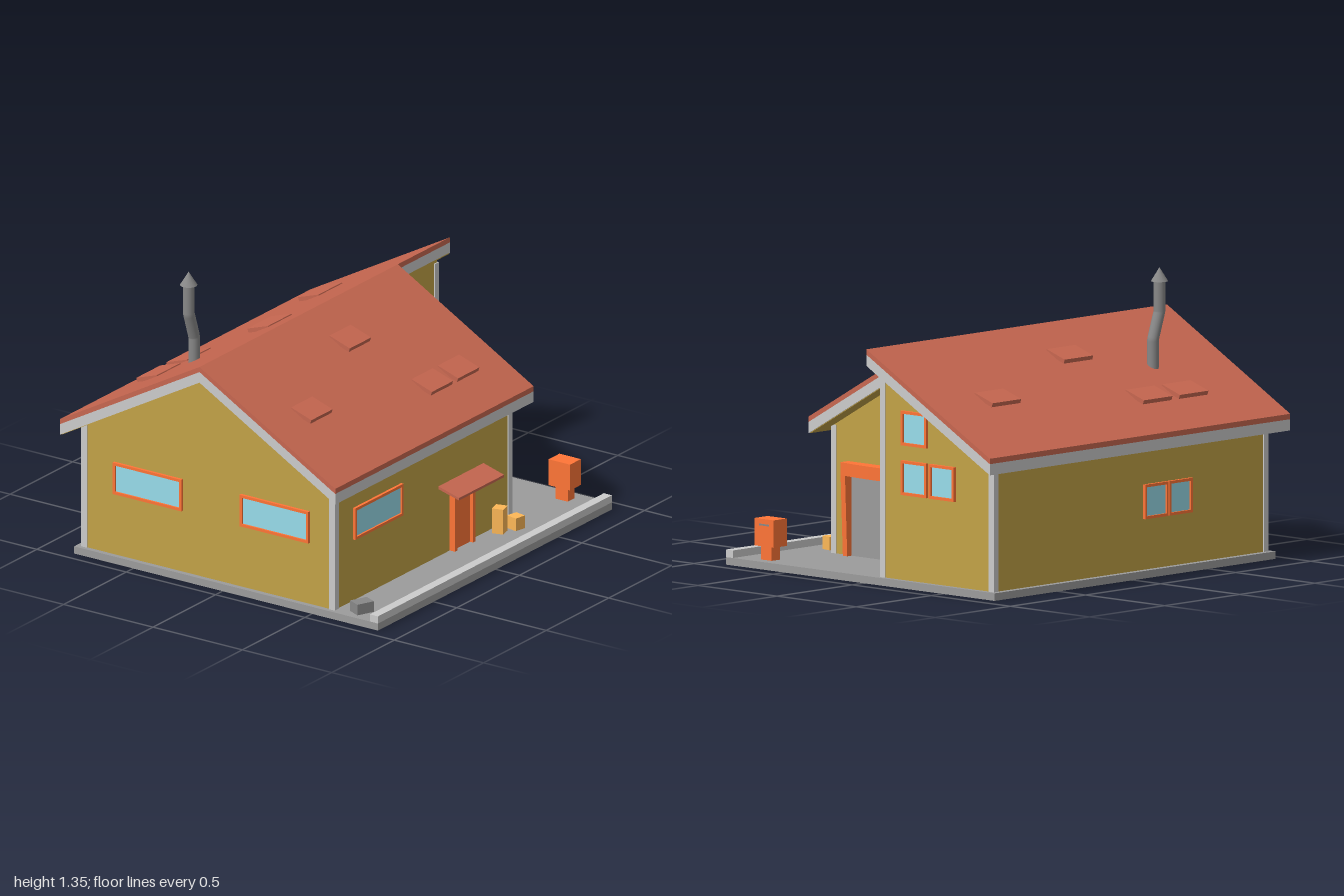
import * as THREE from 'three';

const mat = (color) => new THREE.MeshStandardMaterial({ color, flatShading: true });
const M = {
  wall: mat(0xc2a247), trim: mat(0xcccccc), roof: mat(0xc76750), orange: mat(0xff7537),
  glass: mat(0x98dcea), stone: mat(0x9c9c9c), metal: mat(0x888888), wood: mat(0xfdb857),
};
const RIDGE = -0.09, FRONT = 0.61, BACK = -0.8, LEFT_X = -0.92, BACK_X = 0.9, FRONT_X = 0.49, FLOOR = 0.035;

export function createModel() {
  const root = new THREE.Group();

  const add = (name, geo, material, parent = root) => {
    const mesh = new THREE.Mesh(geo, material);
    mesh.name = name;
    parent.add(mesh);
    return mesh;
  };
  // Box from its limits, optionally turned about its own vertical axis
  const box = (name, material, [x0, x1], [y0, y1], [z0, z1], turn = 0, parent = root) => {
    const m = add(name, new THREE.BoxGeometry(x1 - x0, y1 - y0, z1 - z0), material, parent);
    m.position.set((x0 + x1) / 2, (y0 + y1) / 2, (z0 + z1) / 2);
    m.rotation.y = turn;
    return m;
  };
  // Prism from a (z, y) outline running from x0 to x1
  const prism = (name, material, pts, x0, x1) => {
    const shape = new THREE.Shape(pts.map(([z, y]) => new THREE.Vector2(z, y)));
    const geo = new THREE.ExtrudeGeometry(shape, { depth: x1 - x0, bevelEnabled: false });
    geo.rotateY(-Math.PI / 2).translate(x1, 0, 0);
    return add(name, geo, material);
  };

  // Ground slab and kerb
  box('groundSlab', M.stone, [-0.945, 0.925], [0, FLOOR], [-0.83, 0.87]);
  box('kerb', M.trim, [-0.945, 0.925], [FLOOR, 0.07], [0.825, 0.87]);

  // Walls: the deep rear half and the shorter front half
  prism('rearWalls', M.wall, [[BACK, FLOOR], [RIDGE, FLOOR], [RIDGE, 1.025], [BACK, 0.642]], LEFT_X, BACK_X);
  prism('frontWalls', M.wall, [[RIDGE, FLOOR], [FRONT, FLOOR], [FRONT, 0.632], [RIDGE, 1.025]], LEFT_X, FRONT_X);

  // Corner posts
  const post = (x, z, top) => box('cornerPost', M.trim, [x - 0.016, x + 0.016], [FLOOR, top], [z - 0.016, z + 0.016]);
  post(LEFT_X + 0.011, FRONT - 0.011, 0.63);
  post(FRONT_X - 0.013, FRONT - 0.011, 0.63);
  post(LEFT_X + 0.011, BACK + 0.011, 0.64);
  post(BACK_X - 0.011, BACK + 0.011, 0.64);
  post(BACK_X - 0.011, RIDGE - 0.011, 1.01);
  post(FRONT_X + 0.016, RIDGE + 0.014, 1.01);

  // Roof halves: red sheet, pale fascia and wall-coloured soffit
  const roofHalf = (name, eave, x1) => {
    const layer = (part, material, top, bottom, inset) => {
      const e = eave - Math.sign(eave) * inset, drop = 0.43 * (1 - inset / Math.abs(eave - RIDGE));
      prism(name + part, material, [
        [RIDGE, 1.1 - top], [e, 1.1 - top - drop], [e, 1.1 - bottom - drop], [RIDGE, 1.1 - bottom],
      ], -1 + inset, x1 - inset);
    };
    layer('Sheet', M.roof, 0, 0.025, 0);
    layer('Fascia', M.trim, 0.025, 0.077, 0);
    layer('Soffit', M.wall, 0.075, 0.08, 0.005);
  };
  roofHalf('frontRoof', 0.67, 0.585);
  roofHalf('rearRoof', -0.87, 1);

  // Raised roof panels, lifted at their lower edge: x centre, z centre, width
  const panels = [
    [-0.685, 0.315, 0.17], [-0.085, 0.11, 0.17], [0.085, 0.45, 0.17], [0.295, 0.45, 0.17],
    [-0.545, -0.635, 0.19], [-0.305, -0.635, 0.19], [0.575, -0.515, 0.19], [-0.115, -0.315, 0.19],
  ];
  for (const [x, z, w] of panels) {
    const run = z > RIDGE ? 0.76 : 0.78;
    const m = add('roofPanel', new THREE.BoxGeometry(w, 0.02, 0.12), M.roof);
    m.position.set(x, 1.1 - Math.abs(z - RIDGE) * 0.43 / run + 0.007, z);
    m.rotation.x = z > RIDGE ? 0.32 : -0.32;
  }

  // Windows: frame with a hole and a recessed pane, turned to face outwards
  const framed = (name, w, h, x, y, z, turn) => {
    const g = new THREE.Group();
    g.name = name;
    const rect = (P, a, b) => new P().moveTo(-a, -b).lineTo(a, -b).lineTo(a, b).lineTo(-a, b).closePath();
    const shape = rect(THREE.Shape, w / 2, h / 2);
    shape.holes.push(rect(THREE.Path, w / 2 - 0.013, h / 2 - 0.013));
    add('windowFrame', new THREE.ExtrudeGeometry(shape, { depth: 0.014, bevelEnabled: false }), M.orange, g);
    box('windowPane', M.glass, [-w / 2 + 0.01, w / 2 - 0.01], [-h / 2 + 0.01, h / 2 - 0.01], [-0.005, 0.005], 0, g);
    g.position.set(x, y, z);
    g.rotation.y = turn;
    root.add(g);
  };
  const Q = Math.PI / 2;
  framed('frontWindow', 0.385, 0.155, -0.58, 0.413, FRONT, 0);
  framed('garageGableWindow', 0.16, 0.16, FRONT_X, 0.74, 0.08, Q);
  for (const [z, y] of [[-0.305, 0.74], [-0.305, 0.51], [-0.48, 0.51]]) framed('rightWindow', 0.16, 0.16, BACK_X, y, z, Q);
  for (const z of [-0.43, 0.28]) framed('leftWindow', 0.385, 0.155, LEFT_X, 0.413, z, -Q);
  for (const x of [-0.172, -0.334]) framed('backWindow', 0.156, 0.16, x, 0.35, BACK, Math.PI);

  // Front door with frame and sloping canopy
  for (const x of [0, 0.144]) box('doorFrameSide', M.orange, [x, x + 0.018], [FLOOR, 0.31], [0.6, 0.64]);
  box('doorFrameTop', M.orange, [0.018, 0.144], [0.287, 0.31], [0.6, 0.64]);
  box('door', M.orange, [0.018, 0.144], [FLOOR, 0.287], [0.6, 0.622]);
  prism('doorCanopy', M.roof, [[0.6, 0.368], [0.725, 0.335], [0.725, 0.347], [0.6, 0.382]], -0.09, 0.27);

  // Garage door, flared jambs and bowed header
  box('garageDoor', M.stone, [0.47, 0.497], [FLOOR, 0.412], [0.03, 0.485]);
  for (const z of [0, 0.482]) {
    const jamb = new THREE.Shape([[0.48, FLOOR], [0.525, FLOOR], [0.54, 0.41], [0.48, 0.41]].map((p) => new THREE.Vector2(...p)));
    add('garageJamb', new THREE.ExtrudeGeometry(jamb, { depth: 0.028, bevelEnabled: false }).translate(0, 0, z), M.orange);
  }
  const bow = new THREE.Shape().moveTo(0.48, 0).lineTo(0.54, 0).quadraticCurveTo(0.58, 0.255, 0.54, 0.51).lineTo(0.48, 0.51).closePath();
  add('garageHeader', new THREE.ExtrudeGeometry(bow, { depth: 0.06, bevelEnabled: false, curveSegments: 8 })
    .rotateX(Q).translate(0, 0.47, 0), M.orange);

  // Bent flue with a conical cap
  const flue = new THREE.CurvePath();
  const P = [[-0.528, 0.84], [-0.528, 1.02], [-0.572, 1.15], [-0.572, 1.295]].map(([x, y]) => new THREE.Vector3(x, y, -0.45));
  for (let i = 0; i < 3; i++) flue.add(new THREE.LineCurve3(P[i], P[i + 1]));
  const smooth = new THREE.MeshStandardMaterial({ color: 0x888888 });
  add('flue', new THREE.TubeGeometry(flue, 32, 0.027, 16), smooth);
  add('flueCap', new THREE.ConeGeometry(0.04, 0.065, 16), smooth).position.set(-0.572, 1.32, -0.45);

  // Letter bin on a pedestal
  box('binPedestal', M.orange, [0.815, 0.87], [FLOOR, 0.1], [0.632, 0.7]);
  box('binBody', M.orange, [0.8, 0.887], [0.1, 0.227], [0.603, 0.723]);
  box('binSlot', M.metal, [0.88, 0.889], [0.196, 0.204], [0.632, 0.695]);

  // Crates by the door
  box('tallCrate', M.wood, [0.296, 0.354], [FLOOR, 0.157], [0.635, 0.69], 0.25);
  box('shortCrate', M.wood, [0.378, 0.436], [FLOOR, 0.097], [0.667, 0.725], -0.2);

  // Grey boxes on the paving
  box('stackedBoxBase', M.metal, [0.685, 0.75], [FLOOR, 0.1], [-0.04, 0.01], -0.45);
  box('stackedBox', M.metal, [0.672, 0.762], [0.097, 0.147], [-0.05, 0.018], -0.45);
  box('cornerBox', M.metal, [-0.905, -0.817], [FLOOR, 0.087], [0.69, 0.755], -0.42);

  return root;
}
